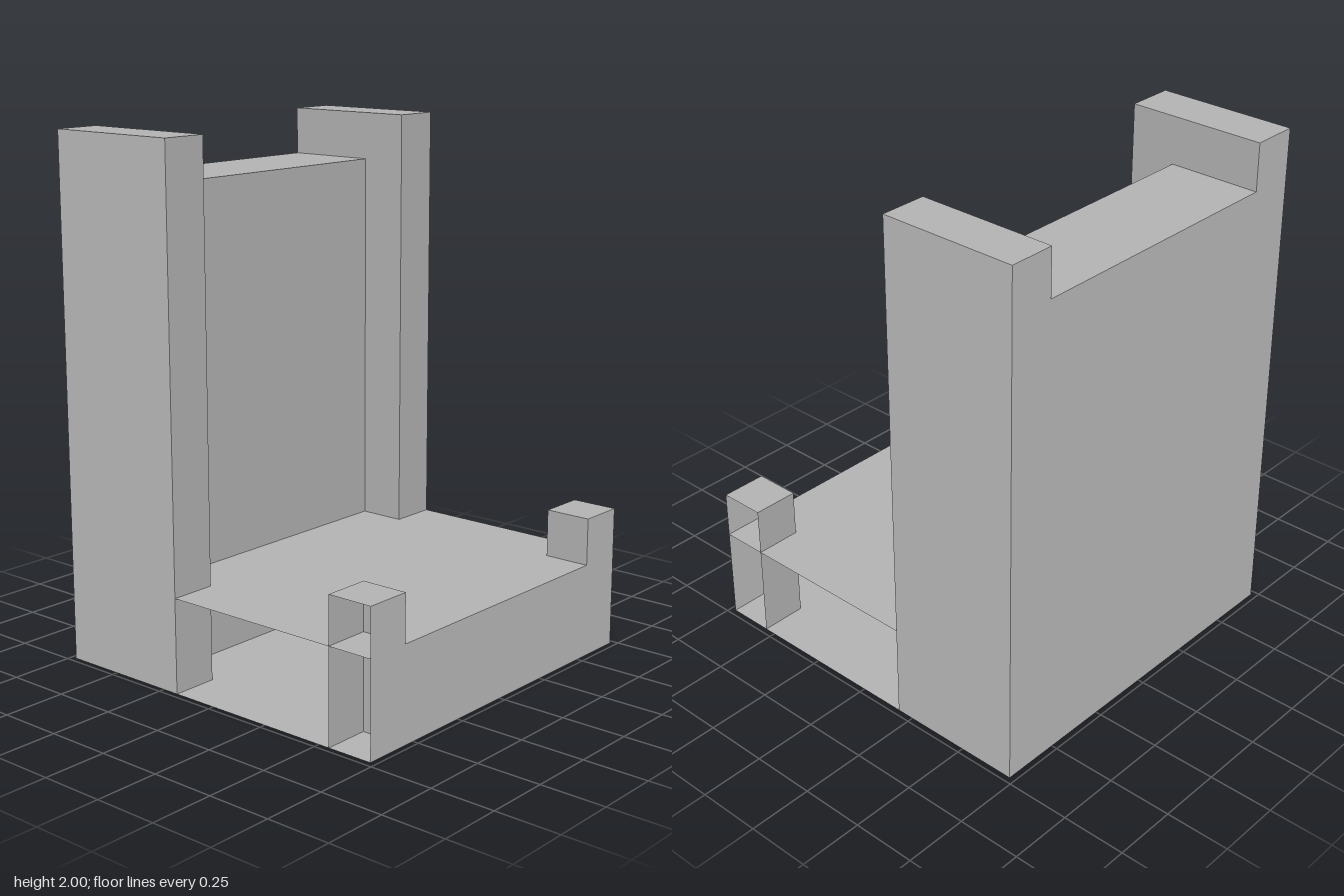
import * as THREE from 'three';

const U = 2 / 11; // modelling unit: the chair is 8 x 11 x 8 units

const bodyGrey = new THREE.MeshStandardMaterial({ color: 0xb2b2b2, side: THREE.DoubleSide });
bodyGrey.name = 'bodyGrey';
const outerGrey = new THREE.MeshStandardMaterial({ color: 0xbbbbbb, side: THREE.DoubleSide });
outerGrey.name = 'outerGrey';

// Box between two corners (in units). Faces run +x -x +y -y +z -z:
// 'b' = body grey, 'o' = outer grey, '-' = left open.
function block(name, [x0, y0, z0], [x1, y1, z1], faces) {
  const geo = new THREE.BoxGeometry((x1 - x0) * U, (y1 - y0) * U, (z1 - z0) * U);
  geo.translate((x0 + x1) / 2 * U, (y0 + y1) / 2 * U, (z0 + z1) / 2 * U);
  const source = Array.from(geo.index.array);
  const index = [];
  geo.clearGroups();
  [...faces].forEach((f, i) => {
    if (f === '-') return;
    geo.addGroup(index.length, 6, f === 'o' ? 1 : 0);
    index.push(...source.slice(i * 6, i * 6 + 6));
  });
  geo.setIndex(index);
  const mesh = new THREE.Mesh(geo, [bodyGrey, outerGrey]);
  mesh.name = name;
  return mesh;
}

export function createModel() {
  const chair = new THREE.Group();
  chair.name = 'chair';

  // Seat: hollow, open at both sides and into the backrest
  chair.add(block('seat', [-4, 0, -3], [4, 2, 4], '--bbo-'));

  // Backrest panel between the tall posts
  chair.add(block('backrest', [-3, 0, -4], [3, 10, -2], '--bbbo'));

  for (const left of [true, false]) {
    const side = left ? 'left' : 'right';
    const [a, b] = left ? [3, 4] : [-4, -3];
    // Tall back post
    chair.add(block(side + 'BackPost', [a, 0, -4], [b, 11, -1], left ? 'obbbbo' : 'bobbbo'));
    // Short front post, open on its outer side
    chair.add(block(side + 'FrontPost', [a, 0, 3], [b, 3, 4], left ? '-bbbob' : 'b-bbob'));
  }
  return chair;
}
